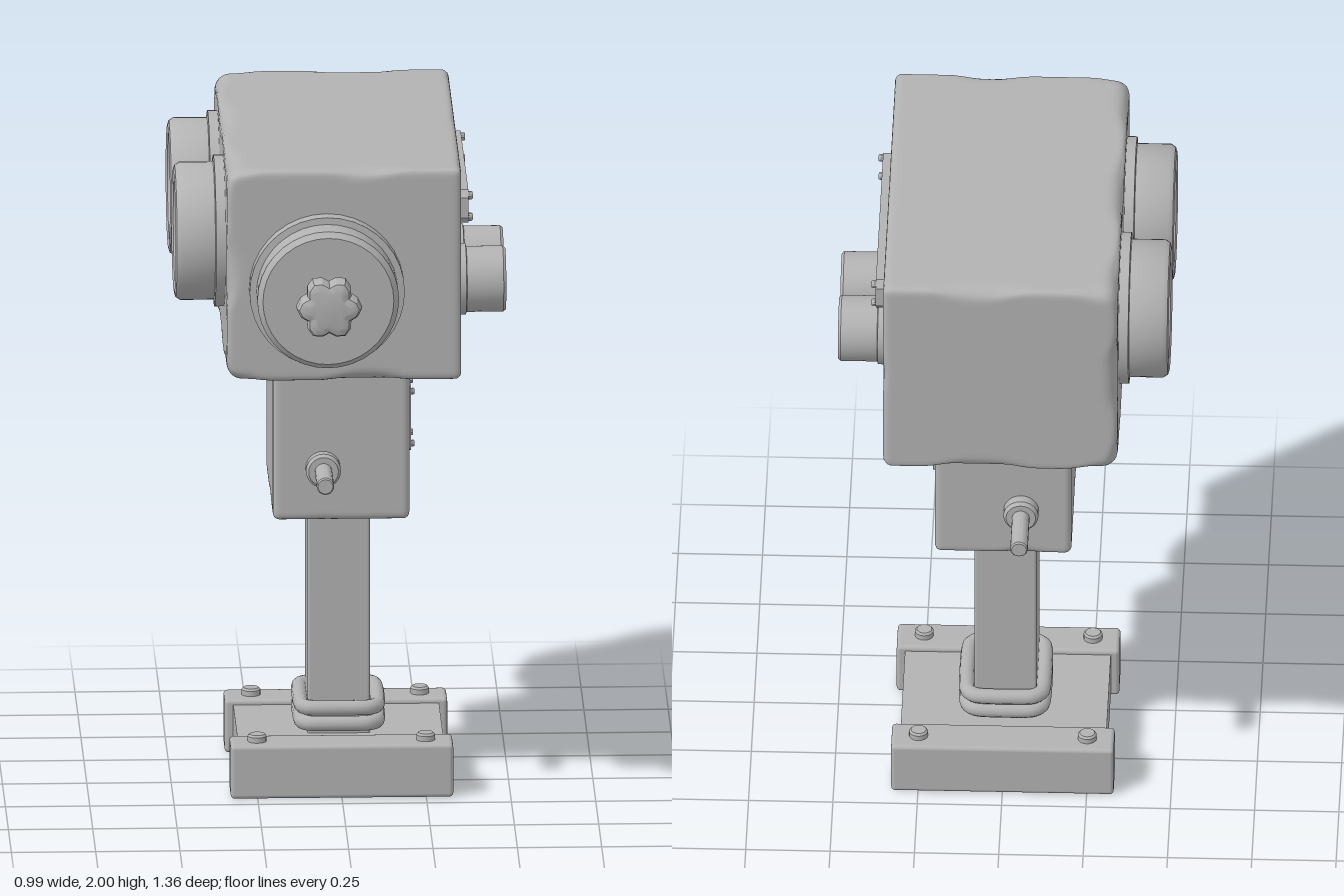
import * as THREE from 'three';
import { mergeVertices, toCreasedNormals } from 'three/addons/utils/BufferGeometryUtils.js';
import { RoundedBoxGeometry } from 'three/addons/geometries/RoundedBoxGeometry.js';

const CZ = -0.123; // depth of the stand's centre line

export function createModel() {
  const model = new THREE.Group();
  const grey = new THREE.MeshStandardMaterial({ color: 0xb2b2b2 });
  grey.name = 'plain grey';

  function add(name, geometry, x, y, z, parent = model) {
    const mesh = new THREE.Mesh(geometry, grey);
    mesh.name = name;
    mesh.position.set(x, y, z);
    parent.add(mesh);
    return mesh;
  }

  // Turned part; profile is [radius, height], pointing along the given axis
  function turned(profile, axis, segments = 40) {
    const g = new THREE.LatheGeometry(profile.map(([r, h]) => new THREE.Vector2(r, h)), segments);
    if (axis === '+x') g.rotateZ(-Math.PI / 2);
    if (axis === '-x') g.rotateZ(Math.PI / 2);
    if (axis === '+z') g.rotateX(Math.PI / 2);
    if (axis === '-z') g.rotateX(-Math.PI / 2);
    return toCreasedNormals(g, 0.6);
  }

  // Small round-headed bolt
  const boltProfile = (r, h) => [[r, 0], [r, h * 0.75], [r * 0.8, h], [0, h]];

  // Box whose edge rounding varies along the edges, giving worn chips
  function wornBox(w, h, d, seed) {
    const g = new THREE.BoxGeometry(2, 2, 2, 36, 36, 36);
    g.deleteAttribute('uv');
    g.deleteAttribute('normal');
    const pos = g.attributes.position;
    const half = new THREE.Vector3(w / 2, h / 2, d / 2);
    const p = new THREE.Vector3(), core = new THREE.Vector3(), limit = new THREE.Vector3();
    const ease = (u) => Math.sin(u * Math.PI / 2);
    for (let i = 0; i < pos.count; i++) {
      p.fromBufferAttribute(pos, i);
      p.set(ease(p.x), ease(p.y), ease(p.z)).multiply(half);
      const wave = Math.sin(p.x * 15 + seed) + Math.sin(p.y * 17 + seed * 2.3) + Math.sin(p.z * 13 + seed * 3.1);
      const r = 0.02 + 0.028 * THREE.MathUtils.smoothstep(wave, 0.7, 2.2);
      limit.copy(half).subScalar(r);
      core.copy(p).clamp(limit.clone().negate(), limit);
      p.sub(core);
      if (p.lengthSq() > 0) p.setLength(r);
      p.add(core);
      pos.setXYZ(i, p.x, p.y, p.z);
    }
    const merged = mergeVertices(g, 1e-5);
    merged.computeVertexNormals();
    return merged;
  }

  // Rectangle with cut corners
  function cutRect(w, h, c) {
    const x = w / 2, y = h / 2;
    return new THREE.Shape([
      [-x + c, -y], [x - c, -y], [x, -y + c], [x, y - c],
      [x - c, y], [-x + c, y], [-x, y - c], [-x, -y + c],
    ].map(([a, b]) => new THREE.Vector2(a, b)));
  }
  const sidePlate = (shape, depth) =>
    new THREE.ExtrudeGeometry(shape, { depth, bevelEnabled: false, curveSegments: 12 }).rotateY(Math.PI / 2);

  // Base: low slab between two wider bars with a bolt at each corner
  const base = new THREE.Group();
  base.name = 'base';
  model.add(base);
  add('baseSlab', new THREE.BoxGeometry(0.61, 0.143, 0.42), 0, 0.0765, CZ, base);
  for (const s of [1, -1]) {
    add('baseBar', new RoundedBoxGeometry(0.66, 0.163, 0.125, 3, 0.012), 0, 0.0815, CZ + s * 0.254, base);
    for (const t of [1, -1]) {
      add('baseBolt', turned(boltProfile(0.028, 0.025), '+y', 16), t * 0.25, 0.16, CZ + s * 0.256, base);
    }
  }

  // Column
  add('column', new RoundedBoxGeometry(0.185, 0.75, 0.25, 2, 0.008), -0.003, 0.5, CZ);

  // Two rounded rectangular rings at the foot of the column
  function ringPath(w, d, r) {
    const points = [];
    for (let k = 0; k < 4; k++) {
      const sx = k === 0 || k === 3 ? 1 : -1, sz = k < 2 ? 1 : -1;
      for (let j = 0; j <= 4; j++) {
        const a = (k + j / 4) * Math.PI / 2;
        points.push(new THREE.Vector3(sx * (w / 2 - r) + r * Math.cos(a), 0, sz * (d / 2 - r) + r * Math.sin(a)));
      }
    }
    return new THREE.CatmullRomCurve3(points, true, 'centripetal');
  }
  for (const y of [0.183, 0.231]) {
    add('columnRing', new THREE.TubeGeometry(ringPath(0.225, 0.29, 0.045), 80, 0.023, 12, true), -0.001, y, CZ);
  }

  // Neck housing with a lever at front and back
  add('neckHousing', wornBox(0.405, 0.5, 0.555, 2.4), -0.001, 1.095, CZ);
  for (const s of [1, -1]) {
    const axis = s > 0 ? '+z' : '-z';
    const z = CZ + s * 0.272;
    add('leverCollar', turned([[0.052, 0], [0.052, 0.036], [0.044, 0.047], [0, 0.047]], axis, 24), -0.055, 1.006, z);
    add('lever', turned([[0.026, 0], [0.026, 0.205], [0.022, 0.21], [0, 0.21]], axis, 20), -0.055, 1.006, z);
  }

  // Small framed hatch on the neck
  const hatch = new THREE.Group();
  hatch.name = 'neckHatch';
  hatch.position.set(0.198, 1.1, CZ);
  model.add(hatch);
  const frame = cutRect(0.156, 0.196, 0.004);
  frame.holes.push(cutRect(0.116, 0.156, 0.003));
  add('hatchFrame', sidePlate(frame, 0.015), 0, 0, 0, hatch);
  add('hatchPanel', sidePlate(cutRect(0.12, 0.16, 0.003), 0.008), 0, 0, 0, hatch);
  add('hatchRing', new THREE.TorusGeometry(0.032, 0.006, 8, 20).rotateY(Math.PI / 2), 0.008, 0, 0, hatch);
  for (const s of [1, -1]) for (const t of [1, -1]) {
    add('hatchBolt', turned(boltProfile(0.01, 0.012), '+x', 10), 0.013, t * 0.08, s * 0.062, hatch);
  }

  // Head
  add('head', wornBox(0.695, 0.65, 1.113, 0.6), -0.002, 1.675, CZ - 0.002);

  // Two large recessed lenses on the head's right side
  const lensProfile = [
    [0.225, 0], [0.225, 0.036], [0.205, 0.038], [0.205, 0.137], [0.196, 0.151], [0.182, 0.155],
    [0.168, 0.15], [0.145, 0.1], [0.14, 0.085], [0.1, 0.1], [0.05, 0.108], [0, 0.11],
  ];
  for (const z of [0.115, -0.372]) add('largeLens', turned(lensProfile, '-x', 48), -0.342, 1.73, z);

  // Two hollow eyepieces on the head's left side
  const eyepieceProfile = [
    [0.106, 0], [0.106, 0.03], [0.098, 0.032], [0.098, 0.14], [0.092, 0.148], [0.082, 0.148],
    [0.077, 0.14], [0.073, 0.06], [0.05, 0.075], [0.025, 0.083], [0, 0.086],
  ];
  for (const z of [-0.011, -0.234]) add('eyepiece', turned(eyepieceProfile, '+x', 36), 0.343, 1.538, z);

  // Long bolted plate above the eyepieces
  add('longPlate', sidePlate(cutRect(0.685, 0.102, 0.02), 0.032), 0.342, 1.82, -0.127);
  for (const s of [1, -1]) for (const t of [1, -1]) {
    add('plateBolt', turned(boltProfile(0.012, 0.014), '+x', 10), 0.373, 1.82 + t * 0.033, -0.127 + s * 0.322);
  }

  // Front barrel with a six-lobed knob
  add('frontBarrel', turned([
    [0.23, 0], [0.23, 0.048], [0.21, 0.05], [0.21, 0.13], [0.194, 0.147], [0.185, 0.147], [0, 0.147],
  ], '+z', 36), -0.054, 1.637, 0.428);
  add('knobStem', turned([[0.045, 0], [0.045, 0.05]], '+z', 20), -0.054, 1.637, 0.57);
  const star = [];
  for (let i = 0; i < 48; i++) {
    const a = i / 48 * Math.PI * 2;
    const r = 0.058 + 0.012 * Math.cos(a * 6);
    star.push(new THREE.Vector2(Math.cos(a) * r, Math.sin(a) * r));
  }
  const knob = new THREE.ExtrudeGeometry(new THREE.Shape(star), {
    depth: 0.038, bevelThickness: 0.027, bevelSize: 0.024, bevelSegments: 2,
  });
  add('knob', toCreasedNormals(knob, 0.5), -0.054, 1.637, 0.616);

  return model;
}
